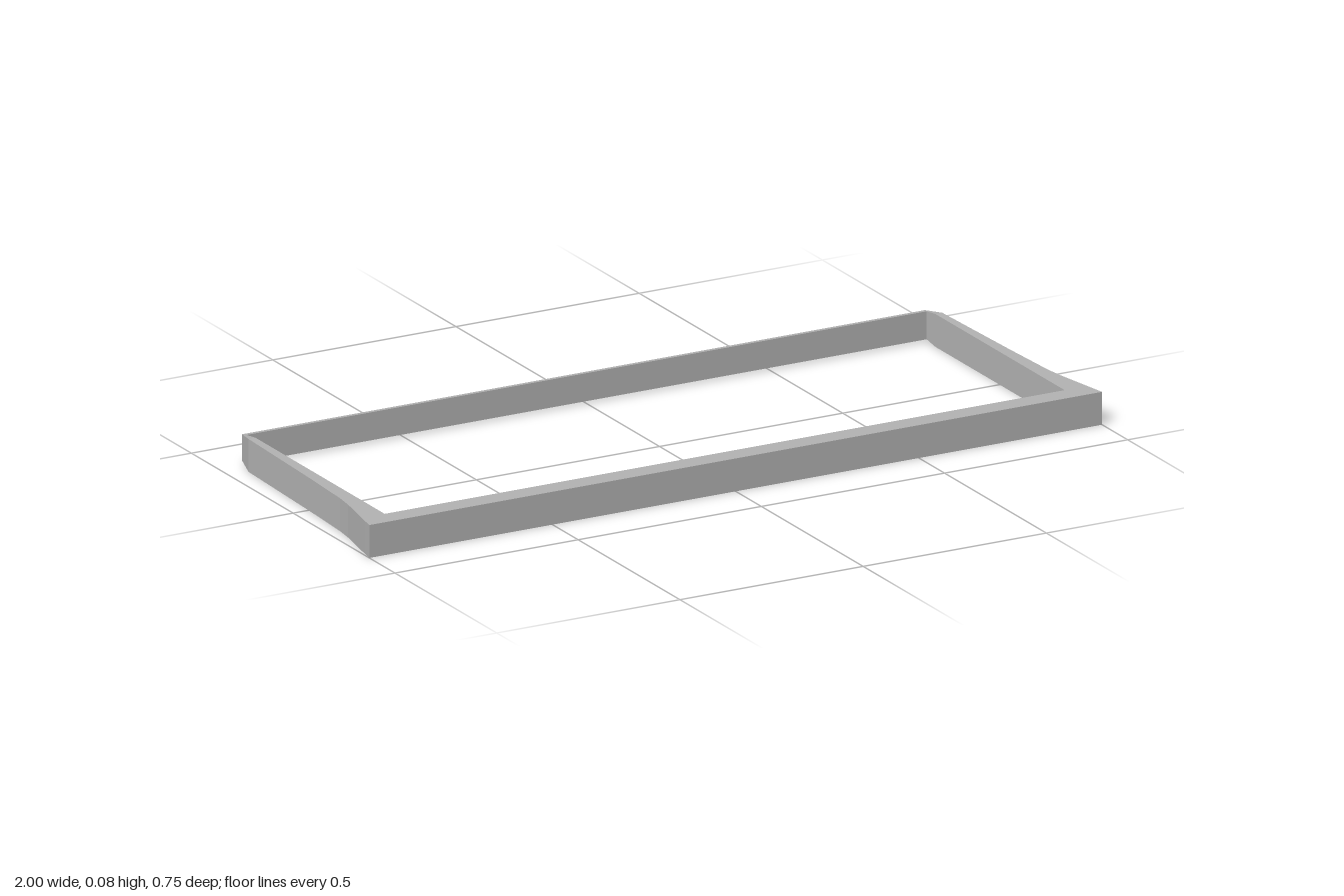
import * as THREE from 'three';

const HEIGHT = 0.083;
const BACK = -0.374;
const TAPER_START = -0.315;

// Side stations from front to back: outer x, outer z, inner x, inner z
const SIDE = [
  [1.0, 0.374, 0.928, 0.32],
  [0.995, 0.345, 0.928, 0.32],
  [0.972, 0.22, 0.928, 0.22],
  [0.966, 0.17, 0.928, 0.17],
  [0.958, 0.0, 0.928, 0.0],
  [0.947, TAPER_START, 0.928, TAPER_START],
  [0.932, BACK, 0.928, -0.358],
];

// The frame gets thinner from both top and bottom towards the back edge
function inset(z) {
  return 0.0085 * Math.max(0, (TAPER_START - z) / (TAPER_START - BACK));
}

// Rectangular section of the ring: outer bottom, outer top, inner top, inner bottom
function section([ox, oz, ix, iz]) {
  const o = inset(oz), i = inset(iz);
  return [
    [ox, o, oz], [ox, HEIGHT - o, oz],
    [ix, HEIGHT - i, iz], [ix, i, iz],
  ];
}

function ringGeometry(stations) {
  const rings = stations.map(section);
  const positions = [];
  rings.forEach((p, s) => {
    const q = rings[(s + 1) % rings.length];
    for (let k = 0; k < 4; k++) {
      const n = (k + 1) % 4;
      positions.push(...p[k], ...q[k], ...q[n], ...p[k], ...q[n], ...p[n]);
    }
  });
  const geometry = new THREE.BufferGeometry();
  geometry.setAttribute('position', new THREE.Float32BufferAttribute(positions, 3));
  geometry.computeVertexNormals();
  return geometry;
}

export function createModel() {
  const group = new THREE.Group();
  group.name = 'rectangularFrame';
  const grey = new THREE.MeshStandardMaterial({ color: 0xb4b4b4 });
  grey.name = 'grey';

  // Mirror the left side to close the loop along the back and front bars
  const mirrored = SIDE.map(([ox, oz, ix, iz]) => [-ox, oz, -ix, iz]).reverse();
  const frame = new THREE.Mesh(ringGeometry([...SIDE, ...mirrored]), grey);
  frame.name = 'frame';
  group.add(frame);
  return group;
}
